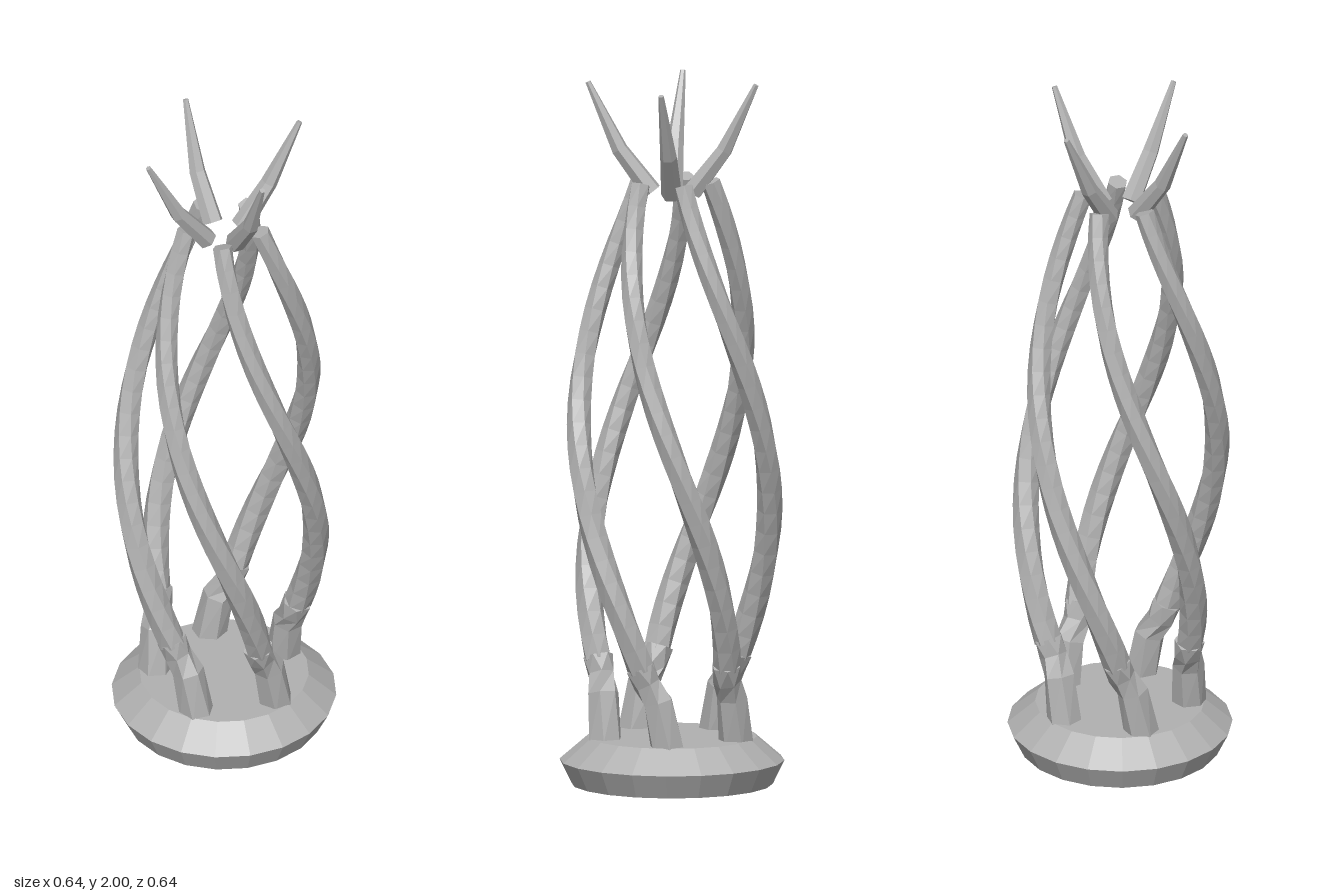
import * as THREE from 'three';

const V = (x, y, z) => new THREE.Vector3(x, y, z);

// Flat-sided tube through points; each has its own radius, reference direction and twist
function loft(rings, sides) {
  const pos = [], idx = [], n = rings.length;
  rings.forEach((ring, i) => {
    const t = rings[Math.min(i + 1, n - 1)].p.clone().sub(rings[Math.max(i - 1, 0)].p).normalize();
    const u = ring.ref.clone().addScaledVector(t, -ring.ref.dot(t)).normalize();
    const v = t.clone().cross(u);
    for (let j = 0; j < sides; j++) {
      const a = (j / sides) * Math.PI * 2 + (ring.twist || 0);
      const q = ring.p.clone().addScaledVector(u, Math.cos(a) * ring.r).addScaledVector(v, Math.sin(a) * ring.r);
      pos.push(q.x, q.y, q.z);
    }
  });
  for (let i = 0; i < n - 1; i++) {
    for (let j = 0; j < sides; j++) {
      const k = (j + 1) % sides;
      const a = i * sides + j, b = i * sides + k, c = b + sides, d = a + sides;
      idx.push(a, b, c, a, c, d);
    }
  }
  // End caps
  const e = (n - 1) * sides;
  for (let j = 1; j < sides - 1; j++) idx.push(0, j + 1, j, e, e + j, e + j + 1);
  const g = new THREE.BufferGeometry();
  g.setAttribute('position', new THREE.Float32BufferAttribute(pos, 3));
  g.setIndex(idx);
  const flat = g.toNonIndexed();
  flat.computeVertexNormals();
  return flat;
}

// Strand: a helix around its own off-centre axis, falling from the crown to the foot
const AXIS = [-0.13, -0.06], COIL = 0.135, TOP = 1.72, BOTTOM = 0.35;
const START = THREE.MathUtils.degToRad(-21), SWEEP = THREE.MathUtils.degToRad(216);

function strandGeometry() {
  const rings = [], steps = 22;
  for (let i = 0; i <= steps; i++) {
    const s = 1 - i / steps; // 1 at the bottom, 0 at the top
    const a = START - SWEEP * s;
    const ref = V(Math.cos(a), 0, Math.sin(a));
    const p = V(AXIS[0] + COIL * ref.x, TOP + (BOTTOM - TOP) * s, AXIS[1] + COIL * ref.z);
    rings.push({ p, ref, r: 0.028 + 0.012 * s });
  }
  return loft(rings, 6);
}

// Foot: a thicker kinked stub which carries the strand down into the base
function footGeometry() {
  const a0 = START - SWEEP;
  const end = V(AXIS[0] + COIL * Math.cos(a0), 0, AXIS[1] + COIL * Math.sin(a0));
  const endAngle = Math.atan2(end.z, end.x), endRadius = Math.hypot(end.x, end.z);
  // height, angle turned back, distance from centre, radius, twist
  const profile = [
    [0.12, -0.36, 0.195, 0.05, 0.2],
    [0.26, -0.22, 0.195, 0.045, 0.2],
    [0.31, -0.06, 0.2, 0.04, 0.6],
    [0.36, 0.02, endRadius, 0.043, 0.3],
  ];
  return loft(profile.map(([y, turn, d, r, twist]) => {
    const a = endAngle + turn;
    const ref = V(Math.cos(a), 0, Math.sin(a));
    return { p: V(d * ref.x, y, d * ref.z), ref, r, twist };
  }), 6);
}

// Spike: bent, tapering prong that flares outwards
function spikeGeometry() {
  const ref = V(-0.4, 0, 0.9);
  return loft([
    { p: V(0.055, 1.69, 0.016), ref, r: 0.03 },
    { p: V(0.14, 1.81, 0.048), ref, r: 0.024 },
    { p: V(0.221, 2.0, 0.092), ref, r: 0.008 },
  ], 6);
}

export function createModel() {
  const model = new THREE.Group();
  model.name = 'twistedSculpture';
  const stone = new THREE.MeshStandardMaterial({ color: 0xb0b0b0, flatShading: true });
  stone.name = 'grey';

  const add = (name, geometry, angle = 0) => {
    const mesh = new THREE.Mesh(geometry, stone);
    mesh.name = name;
    mesh.rotation.y = -angle;
    model.add(mesh);
  };

  // Bevelled round base
  const profile = [[0, 0], [0.285, 0], [0.318, 0.068], [0.24, 0.135], [0, 0.135]];
  add('base', new THREE.LatheGeometry(profile.map(([x, y]) => new THREE.Vector2(x, y)), 20));

  // Five strands with their feet
  const strand = strandGeometry(), foot = footGeometry();
  for (let k = 0; k < 5; k++) {
    const angle = (k / 5) * Math.PI * 2;
    add('strand' + (k + 1), strand, angle);
    add('foot' + (k + 1), foot, angle);
  }

  // Four spikes at the crown
  const spike = spikeGeometry();
  for (let k = 0; k < 4; k++) add('spike' + (k + 1), spike, (k / 4) * Math.PI * 2);

  return model;
}
